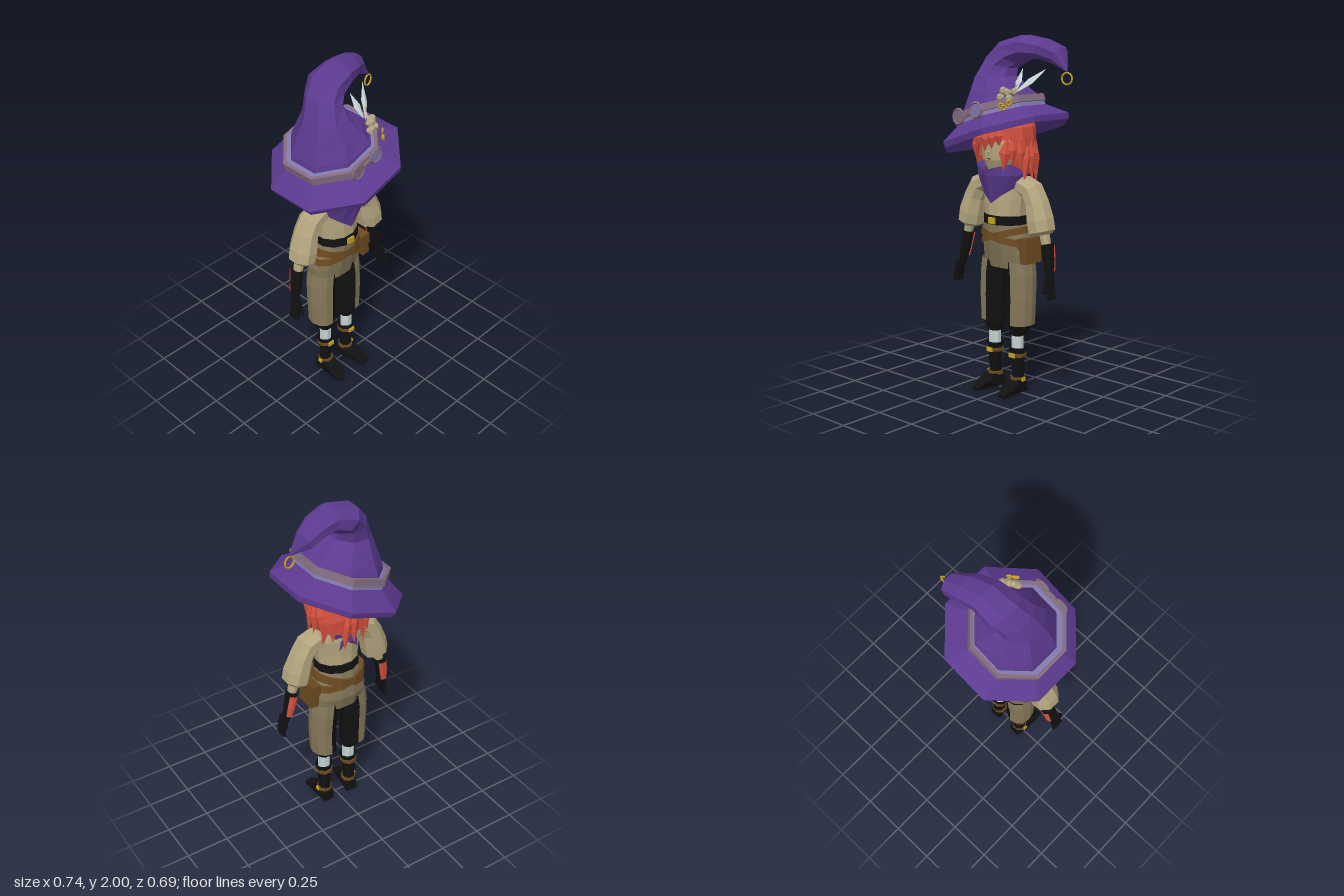
import * as THREE from 'three';

const rad = THREE.MathUtils.degToRad;
const mat = (name, color, side = THREE.DoubleSide) => {
  const m = new THREE.MeshStandardMaterial({ color, side });
  m.name = name;
  return m;
};

// Faceted surface through elliptical rings [x, y, z, rx, rz, tilt], listed bottom to top
function loft(rings, { n = 8, start = 180 / n, arc = 360, cap = true } = {}) {
  const pos = [], idx = [], w = n + 1;
  for (const [x, y, z, rx, rz, t = 0] of rings) {
    for (let i = 0; i <= n; i++) {
      const a = rad(start + (arc * i) / n), c = Math.cos(a) * rx;
      pos.push(x + c * Math.cos(t), y + c * Math.sin(t), z + Math.sin(a) * rz);
    }
  }
  for (let j = 0; j < rings.length - 1; j++) {
    for (let i = 0; i < n; i++) {
      const a = j * w + i, b = a + 1, d = a + w, c = d + 1;
      idx.push(a, d, b, b, d, c);
    }
  }
  if (cap && arc === 360) {
    const top = (rings.length - 1) * w, k = pos.length / 3;
    pos.push(...rings[0].slice(0, 3), ...rings[rings.length - 1].slice(0, 3));
    for (let i = 0; i < n; i++) idx.push(k, i, i + 1, k + 1, top + i + 1, top + i);
  }
  const g = new THREE.BufferGeometry();
  g.setAttribute('position', new THREE.Float32BufferAttribute(pos, 3));
  g.setIndex(idx);
  return g;
}

export function createModel() {
  const purple = mat('purple cloth', 0x5c3a90), shirt = mat('beige linen', 0xb3a57e);
  const tan = mat('tan trousers', 0x857859), black = mat('black leather', 0x111111);
  const brown = mat('brown leather', 0x6b4a20), red = mat('red hair', 0xd8523f);
  const gold = mat('gold', 0xc6a51e), lavender = mat('lavender band', 0x8078ac);
  const mauve = mat('mauve strap', 0x806a7c), white = mat('pale stocking', 0xc6d4d4);

  const model = new THREE.Group();
  const body = new THREE.Group(), hat = new THREE.Group(), hair = new THREE.Group();
  body.name = 'body'; hat.name = 'hat'; hair.name = 'hair';
  body.position.x = -0.008;
  hair.position.x = -0.012;
  model.add(body, hat, hair);

  // Adds a flat-faceted mesh
  const add = (parent, name, geo, material, p = [0, 0, 0], r = [0, 0, 0], s = [1, 1, 1]) => {
    const g = geo.index ? geo.toNonIndexed() : geo;
    g.computeVertexNormals();
    const m = new THREE.Mesh(g, material);
    m.name = name;
    m.position.set(...p);
    m.rotation.set(...r, 'YXZ');
    m.scale.set(...s);
    parent.add(m);
    return m;
  };
  const box = (w, h, d) => new THREE.BoxGeometry(w, h, d);
  const gem = () => new THREE.OctahedronGeometry(1);
  // Pointed sliver stretched between two points
  const sliver = (parent, name, material, a, b, w, th) => {
    const A = new THREE.Vector3(...a), B = new THREE.Vector3(...b), d = B.clone().sub(A);
    const m = add(parent, name, gem(), material, A.clone().add(B).multiplyScalar(0.5).toArray(), [0, 0, 0], [w, d.length() / 2, th]);
    m.quaternion.setFromUnitVectors(new THREE.Vector3(0, 1, 0), d.normalize());
  };

  // Trousers, belts and shirt
  add(body, 'hips', loft([[0, 0.72, -0.02, 0.16, 0.088], [0, 0.8, -0.022, 0.167, 0.108],
    [0, 0.88, -0.012, 0.156, 0.115], [0, 0.98, 0, 0.13, 0.108]], { n: 12 }), tan);
  add(body, 'waistBelt', loft([[0, 0.97, 0, 0.133, 0.116], [0, 1.02, 0, 0.133, 0.116]], { n: 12 }), black);
  add(body, 'waistBuckle', box(0.045, 0.035, 0.012), gold, [0, 0.993, 0.117]);
  for (const [y, t] of [[0.905, 0.27], [0.9, -0.2]]) {
    add(body, 'hipBelt', loft([[0, y - 0.02, -0.012, 0.172, 0.127, t], [0, y + 0.018, -0.012, 0.164, 0.123, t]], { n: 12 }), brown);
  }
  add(body, 'pouch', box(0.05, 0.125, 0.125), brown, [0.178, 0.825, 0], [0, 0, 0.1]);
  add(body, 'pouchFlap', box(0.062, 0.06, 0.135), brown, [0.174, 0.873, 0], [0, 0, 0.1]);
  add(body, 'shirtTorso', loft([[0, 1.0, 0, 0.126, 0.108], [0, 1.08, 0, 0.135, 0.104], [0, 1.17, -0.005, 0.15, 0.1],
    [0, 1.235, -0.01, 0.13, 0.088], [0, 1.27, 0, 0.06, 0.06]], { n: 12 }), shirt);

  // Neck scarf, drawn to a point on the chest
  const scarf = loft([[0, 1.19, 0.01, 0.125, 0.115], [0, 1.25, 0.025, 0.142, 0.145],
    [0, 1.315, 0.03, 0.13, 0.148], [0, 1.295, 0.03, 0.095, 0.11]], { n: 12, start: -90, cap: false });
  const sp = scarf.attributes.position;
  for (let i = 0; i < sp.count; i++) {
    const f = Math.max(0, 1 - Math.abs(sp.getX(i)) / 0.13);
    if (sp.getZ(i) > 0.03 && sp.getY(i) < 1.2) sp.setY(i, sp.getY(i) - 0.1 * f);
    else if (sp.getZ(i) > 0.03 && sp.getY(i) > 1.26) sp.setY(i, sp.getY(i) - 0.035 * f);
  }
  add(body, 'scarf', scarf, purple);
  add(body, 'scarfKnot', gem(), purple, [0, 1.215, -0.115], [0, 0, 0], [0.04, 0.03, 0.03]);
  for (const s of [-1, 1]) sliver(body, 'scarfTail', purple, [0, 1.22, -0.11], [s * 0.06, 1.13, -0.12], 0.028, 0.012);

  for (const s of [-1, 1]) {
    const side = (rings) => rings.map(([x, y, z, rx, rz, t = 0]) => [x * s, y, z, rx, rz, t * s]);

    // Legs: tan outside, black inside
    const leg = side([[0.1, 0.4, -0.015, 0.074, 0.085], [0.103, 0.55, -0.015, 0.08, 0.085],
      [0.1, 0.68, -0.02, 0.08, 0.09], [0.09, 0.76, -0.02, 0.08, 0.088]]);
    add(body, 'trouserLeg', loft(leg, { n: 6, start: s > 0 ? -97 : 83, arc: 194 }), tan);
    add(body, 'innerLeg', loft(leg, { n: 5, start: s > 0 ? 97 : -83, arc: 166 }), black);
    add(body, 'legCuff', loft(side([[0.086, 0.335, -0.002, 0.042, 0.042], [0.09, 0.365, -0.008, 0.062, 0.058],
      [0.1, 0.405, -0.015, 0.072, 0.08]])), black);
    add(body, 'stocking', loft(side([[0.086, 0.2, 0, 0.036, 0.034], [0.086, 0.35, 0, 0.037, 0.036]])), white);

    // Boots
    add(body, 'bootShaft', loft(side([[0.086, 0.02, -0.008, 0.042, 0.043], [0.086, 0.1, -0.006, 0.036, 0.038],
      [0.086, 0.2, 0, 0.041, 0.04], [0.086, 0.268, 0, 0.056, 0.05], [0.086, 0.245, 0, 0.036, 0.034]])), black);
    const sole = new THREE.Shape([[-0.05, 0], [0.15, 0], [0.157, 0.018], [0.1, 0.042], [0.03, 0.08], [-0.045, 0.06]]
      .map(([x, y]) => new THREE.Vector2(x, y)));
    const foot = new THREE.ExtrudeGeometry(sole, { depth: 0.08, bevelEnabled: false });
    foot.rotateY(-Math.PI / 2).translate(0.04, 0, 0);
    const fp = foot.attributes.position;
    for (let i = 0; i < fp.count; i++) {
      const z = fp.getZ(i);
      fp.setX(i, fp.getX(i) * (z > 0.12 ? 0.55 : z < 0 ? 0.85 : 1.05));
    }
    add(body, 'bootFoot', foot, black, [0.086 * s, 0, 0], [0, 0.1 * s, 0]);
    for (const [y, r] of [[0.08, 0.039], [0.222, 0.045]]) {
      add(body, 'bootStrap', loft(side([[0.086, y - 0.011, -0.003, r + 0.006, r + 0.006], [0.086, y + 0.011, -0.003, r + 0.006, r + 0.006]])), brown);
    }
    add(body, 'bootBuckle', box(0.04, 0.024, 0.012), gold, [0.086 * s, 0.222, 0.046]);
    add(body, 'ankleBuckle', box(0.012, 0.02, 0.025), gold, [0.13 * s, 0.08, 0]);

    // Puffed sleeves and forearms
    add(body, 'sleeve', loft(side([[0.268, 0.932, 0.005, 0.055, 0.06, 0.25], [0.265, 0.95, 0.005, 0.077, 0.08, 0.25],
      [0.252, 1.01, 0.005, 0.078, 0.082, 0.3], [0.226, 1.1, 0, 0.066, 0.074, 0.4],
      [0.19, 1.165, -0.002, 0.064, 0.07, 0.75], [0.13, 1.19, -0.004, 0.058, 0.068, 1.2], [0.07, 1.19, -0.004, 0.05, 0.06, 1.4]])), shirt);
    add(body, 'forearm', loft(side([[0.3, 0.85, 0, 0.026, 0.028, 0.25], [0.273, 0.96, 0, 0.03, 0.032, 0.25]])), shirt);
    const glove = side([[0.33, 0.69, 0.012, 0.02, 0.026, 0.2], [0.314, 0.78, 0.002, 0.029, 0.036, 0.2],
      [0.296, 0.885, -0.004, 0.034, 0.042, 0.2]]);
    add(body, 'glove', loft(glove), black);
    add(body, 'glovePanel', loft(side([[0.322, 0.73, 0.006, 0.027, 0.035, 0.2], [0.314, 0.78, 0.002, 0.033, 0.04, 0.2],
      [0.298, 0.872, -0.004, 0.037, 0.046, 0.2]]), { n: 3, start: -140, arc: 100 }), red);
    add(body, 'palm', box(0.026, 0.085, 0.058), black, [0.338 * s, 0.667, 0.026], [0, 0, 0.15 * s]);
    for (let f = 0; f < 4; f++) {
      add(body, 'finger', box(0.016, 0.06 - 0.006 * Math.abs(f - 1.5), 0.013), black,
        [0.349 * s, 0.612, 0.001 + f * 0.017], [(1.5 - f) * 0.12, 0, 0.15 * s]);
    }
    add(body, 'thumb', box(0.016, 0.06, 0.016), black, [0.336 * s, 0.655, 0.065], [-0.45, 0, 0.1 * s]);
  }

  // Head
  add(body, 'head', loft([[0, 1.2, 0, 0.055, 0.055], [0, 1.27, 0.03, 0.07, 0.09], [0, 1.33, 0.025, 0.108, 0.118],
    [0, 1.42, 0.01, 0.125, 0.135], [0, 1.52, 0, 0.1, 0.11]], { n: 12 }), shirt);
  add(body, 'nose', gem(), shirt, [0, 1.372, 0.142], [0, 0, 0], [0.01, 0.018, 0.014]);
  add(body, 'mouth', box(0.03, 0.005, 0.006), brown, [0, 1.338, 0.141]);

  // Hair: dome, back shell and hanging locks
  add(hair, 'hairDome', loft([[0, 1.445, 0.003, 0.172, 0.17], [0, 1.51, 0.003, 0.166, 0.17],
    [0, 1.565, 0, 0.13, 0.135], [0, 1.595, 0, 0.06, 0.06]], { n: 12 }), red);
  add(hair, 'hairBack', loft([[0, 1.25, -0.02, 0.145, 0.135], [0, 1.34, -0.01, 0.168, 0.155], [0, 1.46, 0.002, 0.172, 0.17]],
    { n: 9, start: 140, arc: 260 }), red);
  for (let i = 0; i < 26; i++) {
    const deg = (i * 360) / 26, a = Math.min(deg, 360 - deg), q = rad(deg);
    const jag = 0.035 * ((i * 7) % 3 - 1);
    const tip = (a < 35 ? 1.395 : a < 60 ? 1.31 : 1.25 - 0.06 * (a - 60) / 120) + (a < 35 ? 0.5 : 1) * jag;
    const top = a < 35 ? 1.52 : 1.47, r = 0.163;
    add(hair, 'hairLock', gem(), red, [Math.sin(q) * r, (top + tip) / 2, Math.cos(q) * r - (a > 60 ? 0.005 : 0)],
      [a < 60 ? 0.04 : -0.03, q, 0.12 * ((i % 3) - 1)], [0.036, (top - tip) / 2, 0.022]);
  }

  // Hat brim, band and strap share one tilted axis
  const ring = (h, r) => [-0.015 - 0.316 * h, 1.48 + 0.949 * h, 0, r, r, 0.32];
  add(hat, 'brim', loft([ring(0.05, 0.25), ring(-0.032, 0.366), ring(0, 0.375), ring(0.078, 0.262), ring(0.09, 0.23)], { cap: false }), purple);
  add(hat, 'band', loft([ring(0.066, 0.262), ring(0.128, 0.256), ring(0.128, 0.22)], { cap: false }), lavender);
  const strap = loft([ring(0.1, 0.25), ring(0.1, 0.274), ring(0.138, 0.27), ring(0.138, 0.25)], { cap: false });
  add(hat, 'goggleStrap', strap, mauve, [0, 0, 0.008]);

  // Crooked cone bending over to its tip
  add(hat, 'crown', loft([ring(0.09, 0.238), [-0.046, 1.625, 0, 0.222, 0.225, 0.26], [-0.052, 1.69, 0, 0.178, 0.19, 0.12],
    [-0.082, 1.775, 0, 0.112, 0.135, 0.03], [-0.065, 1.85, -0.03, 0.09, 0.115, -0.35],
    [-0.015, 1.903, -0.06, 0.088, 0.115, -0.8], [0.085, 1.935, -0.07, 0.07, 0.1, -1.45],
    [0.185, 1.924, -0.1, 0.057, 0.09, -1.75], [0.262, 1.89, -0.128, 0.054, 0.066, -2.05],
    [0.337, 1.808, -0.1, 0.003, 0.003, -2.4]], { cap: false }), purple);
  add(hat, 'tipHoop', new THREE.TorusGeometry(0.031, 0.005, 5, 14), gold, [0.336, 1.772, -0.1], [0, 0.2, 0]);

  // Goggles
  for (const [x, y, lens] of [[-0.112, 1.568, mauve], [0.016, 1.61, lavender]]) {
    add(hat, 'goggleRim', new THREE.TorusGeometry(0.04, 0.009, 4, 10), mauve, [x, y, 0.265]);
    add(hat, 'goggleLens', new THREE.CylinderGeometry(0.038, 0.038, 0.012, 10).rotateX(Math.PI / 2), lens, [x, y, 0.263]);
  }
  add(hat, 'goggleBridge', box(0.06, 0.014, 0.012), mauve, [-0.048, 1.589, 0.265], [0, 0, 0.32]);

  // Feathers, berries and charms
  sliver(hat, 'feather', white, [0.125, 1.69, 0.08], [0.105, 1.825, -0.01], 0.022, 0.006);
  sliver(hat, 'feather', white, [0.125, 1.69, 0.09], [0.24, 1.825, -0.05], 0.022, 0.008);
  sliver(hat, 'twig', shirt, [0.1, 1.65, 0.16], [0.15, 1.76, 0.05], 0.01, 0.01);
  for (const p of [[0.09, 1.675, 0.155], [0.12, 1.7, 0.132], [0.15, 1.705, 0.108], [0.098, 1.71, 0.14], [0.14, 1.67, 0.14]]) {
    add(hat, 'berry', new THREE.DodecahedronGeometry(0.022), shirt, p);
  }
  for (const p of [[0.135, 1.635, 0.2], [0.165, 1.65, 0.172], [0.15, 1.625, 0.195]]) {
    add(hat, 'charm', new THREE.TorusGeometry(0.012, 0.005, 4, 8), gold, p, [0, 0.75, 0]);
  }
  return model;
}
